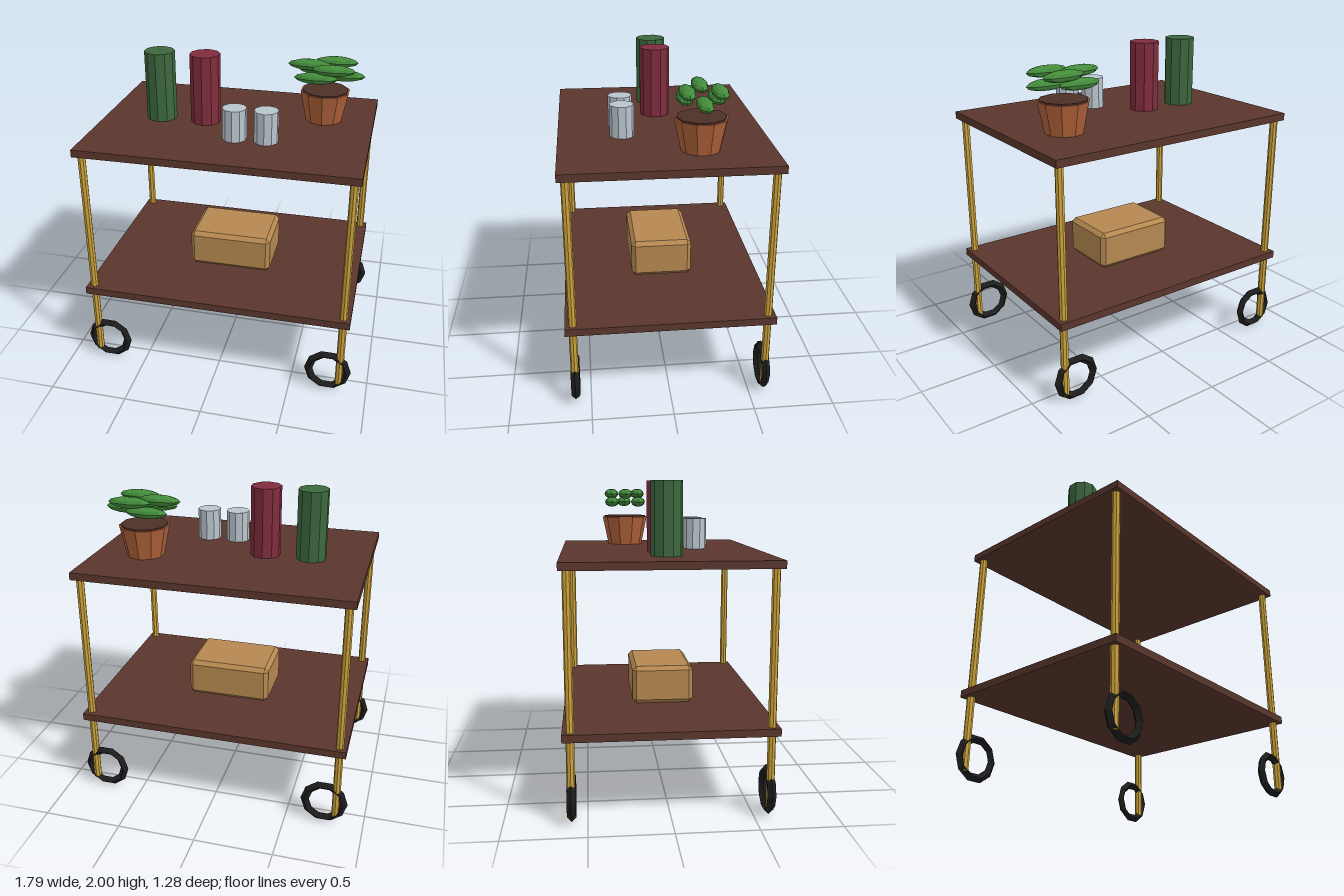
import * as THREE from 'three';
import { ConvexGeometry } from 'three/addons/geometries/ConvexGeometry.js';

const material = (name, color) => {
  const m = new THREE.MeshStandardMaterial({ color });
  m.name = name;
  return m;
};

// Facet the geometry so every polygon reads flat
function flat(geometry) {
  const g = geometry.index ? geometry.toNonIndexed() : geometry;
  g.computeVertexNormals();
  return g;
}

// Block with every edge chamfered by c
function chamferedBox(w, h, d, c) {
  const half = [w / 2, h / 2, d / 2];
  const points = [];
  for (const sx of [-1, 1]) for (const sy of [-1, 1]) for (const sz of [-1, 1]) {
    for (let axis = 0; axis < 3; axis++) {
      const p = half.map((v, i) => (i === axis ? v : v - c));
      points.push(new THREE.Vector3(p[0] * sx, p[1] * sy, p[2] * sz));
    }
  }
  return new ConvexGeometry(points);
}

export function createModel() {
  const group = new THREE.Group();
  group.name = 'servingCart';
  const wood = material('dark wood', 0x5a362d);
  const brass = material('brass', 0xcfa53c);
  const rubber = material('black rubber', 0x1c1c1c);
  const greenGlass = material('green glass', 0x3c683e);
  const redGlass = material('red glass', 0x802c3d);
  const clearGlass = material('pale glass', 0xb9c5cd);
  const clay = material('terracotta', 0xb0623a);
  const soilColor = material('soil', 0x4c3026);
  const foliage = material('leaf green', 0x438c3b);
  const tan = material('tan box', 0xb58850);

  const add = (name, geometry, mat, x, y, z, parent = group) => {
    const mesh = new THREE.Mesh(flat(geometry), mat);
    mesh.name = name;
    mesh.position.set(x, y, z);
    parent.add(mesh);
    return mesh;
  };
  // Cylinder standing on height y
  const column = (name, rTop, rBottom, h, sides, mat, x, y, z, parent) =>
    add(name, new THREE.CylinderGeometry(rTop, rBottom, h, sides), mat, x, y + h / 2, z, parent);

  // Shelves
  const shelfTop = 1.555;
  const lowerTop = 0.567;
  add('topShelf', new THREE.BoxGeometry(1.73, 0.047, 1.285), wood, 0, shelfTop - 0.0235, 0);
  add('lowerShelf', new THREE.BoxGeometry(1.73, 0.047, 1.285), wood, 0, lowerTop - 0.0235, 0);

  // Legs with ring wheels set slightly inward
  for (const sx of [-1, 1]) for (const sz of [-1, 1]) {
    column('leg', 0.025, 0.025, 1.503, 8, brass, sx * 0.82, 0.05, sz * 0.595);
    add('wheel', new THREE.TorusGeometry(0.124, 0.027, 4, 10), rubber, sx * 0.743, 0.146, sz * 0.595);
  }

  // Bottles and glasses
  column('greenBottle', 0.097, 0.097, 0.445, 10, greenGlass, -0.497, shelfTop, 0);
  column('redBottle', 0.097, 0.097, 0.445, 10, redGlass, -0.2, shelfTop, 0);
  for (const x of [0.047, 0.245]) column('glass', 0.076, 0.076, 0.2, 10, clearGlass, x, shelfTop, 0.246);

  // Storage box
  add('storageBox', chamferedBox(0.546, 0.247, 0.396, 0.026), tan, 0, lowerTop + 0.1235, 0);

  // Potted plant
  const plant = new THREE.Group();
  plant.name = 'pottedPlant';
  plant.position.set(0.542, shelfTop, -0.2);
  group.add(plant);
  column('pot', 0.16, 0.12, 0.195, 10, clay, 0, 0, 0, plant);
  column('soil', 0.149, 0.149, 0.02, 10, soilColor, 0, 0.184, 0, plant);

  // Six leaves in a ring, alternating low and high
  for (let k = 0; k < 6; k++) {
    const a = (k * Math.PI) / 3;
    const leaf = new THREE.SphereGeometry(1, 8, 6).scale(0.138, 0.035, 0.05);
    add('leaf', leaf, foliage, 0.108 * Math.cos(a), k % 2 ? 0.358 : 0.301, 0.108 * Math.sin(a), plant);
  }
  return group;
}
